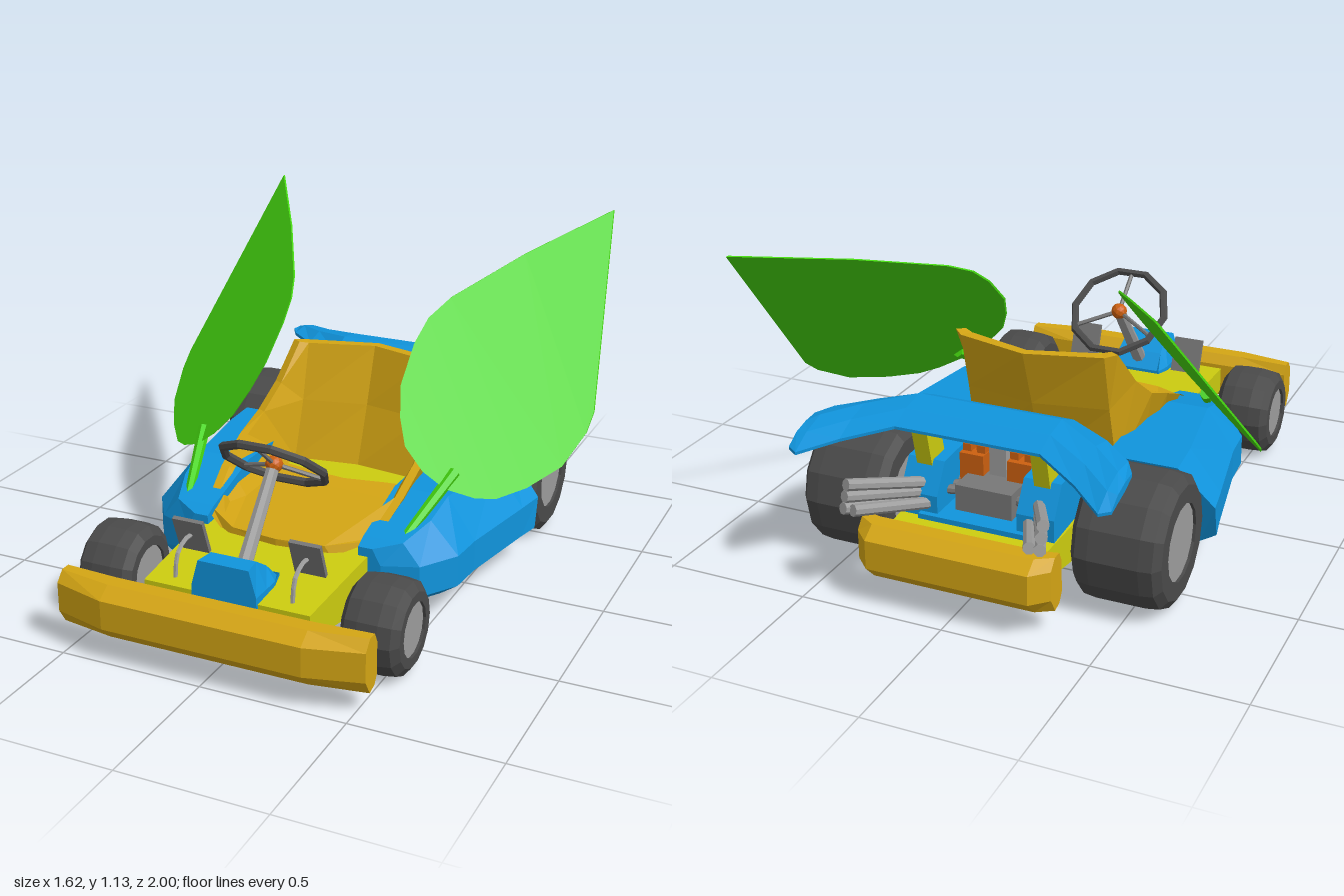
import * as THREE from 'three';

const paint = (color) => new THREE.MeshStandardMaterial({ color, flatShading: true, side: THREE.DoubleSide });
const C = {
  yellow: paint(0xcccc10), amber: paint(0xd4a514), blue: paint(0x1094dc), green: paint(0x44d40f),
  orange: paint(0xcc6010), dark: paint(0x4a4a4a), mid: paint(0x777777), grey: paint(0x9c9c9c),
};
const V = (p) => new THREE.Vector3(...p);

// Closed skin over equal-sized rings of [x, y, z]; ends are capped by pairing point i with point n-1-i
function loft(rings) {
  const n = rings[0].length, last = rings.length - 1, pos = rings.flat(2), idx = [];
  const quad = (a, b, c, d) => idx.push(a, b, c, a, c, d);
  for (let r = 0; r < last; r++)
    for (let i = 0; i < n; i++) {
      const k = (i + 1) % n;
      quad(r * n + i, r * n + k, (r + 1) * n + k, (r + 1) * n + i);
    }
  for (let i = 0; i < n / 2 - 1; i++) {
    const e = last * n;
    quad(i, n - 1 - i, n - 2 - i, i + 1);
    quad(e + i, e + i + 1, e + n - 2 - i, e + n - 1 - i);
  }
  // Turn the skin outward when the enclosed volume is negative
  const P = (i) => new THREE.Vector3().fromArray(pos, i * 3);
  let volume = 0;
  for (let i = 0; i < idx.length; i += 3) volume += P(idx[i]).dot(P(idx[i + 1]).cross(P(idx[i + 2])));
  if (volume < 0) idx.reverse();
  const g = new THREE.BufferGeometry();
  g.setAttribute('position', new THREE.Float32BufferAttribute(pos, 3));
  g.setIndex(idx);
  const flat = g.toNonIndexed();
  flat.computeVertexNormals();
  return flat;
}

// Side profile of [z, y] points stretched between two x positions
const slab = (profile, x0, x1) => loft([x0, x1].map((x) => profile.map(([z, y]) => [x, y, z])));

export function createModel() {
  const model = new THREE.Group();
  const add = (name, geo, mat, p = [0, 0, 0]) => {
    const m = new THREE.Mesh(geo, mat);
    m.name = name;
    m.position.set(...p);
    model.add(m);
    return m;
  };
  const box = (name, mat, w, h, d, p) => add(name, new THREE.BoxGeometry(w, h, d), mat, p);
  const rod = (name, mat, a, b, r0, r1 = r0, sides = 8) => {
    const A = V(a), B = V(b), dir = B.clone().sub(A);
    const m = add(name, new THREE.CylinderGeometry(r1, r0, dir.length(), sides), mat);
    m.position.copy(A).add(B).multiplyScalar(0.5);
    m.quaternion.setFromUnitVectors(new THREE.Vector3(0, 1, 0), dir.normalize());
    return m;
  };

  // Chassis tub: z, half width, bottom, top
  add('chassis', loft([
    [0.82, 0.295, 0.145, 0.235], [0.5, 0.31, 0.1, 0.26], [0.3, 0.32, 0.09, 0.27],
    [-0.37, 0.3, 0.09, 0.3], [-0.42, 0.29, 0.1, 0.26], [-0.8, 0.27, 0.14, 0.24],
  ].map(([z, w, b, t]) => [[-w, b, z], [w, b, z], [w, t, z], [-w, t, z]])), C.yellow);

  // Bumpers: faceted bars whose ends pull in
  const bar = [[0, 0.12], [0, 0.23], [0.03, 0.265], [0.085, 0.265], [0.135, 0.23], [0.135, 0.13], [0.085, 0.08], [0.03, 0.09]];
  const bumper = (name, z0, dir, half, flat, k, dy) => add(name, loft(
    [[-half, k], [-flat, 1], [flat, 1], [half, k]].map(([x, f]) =>
      bar.map(([z, y]) => [x, y + dy, z0 + dir * z * f]))), C.amber);
  bumper('frontBumper', 0.865, 1, 0.54, 0.35, 0.63, 0);
  bumper('rearBumper', -0.83, -1, 0.335, 0.28, 0.6, 0.015);
  rod('frontBumperMount', C.grey, [0, 0.19, 0.78], [0, 0.19, 0.9], 0.032);
  rod('rearBumperMount', C.grey, [0, 0.19, -0.76], [0, 0.19, -0.87], 0.032);

  // Wheels: bevelled tyre around a slightly sunken rim
  const wheel = (name, s, x0, x1, r, hub, y, z, sides) => {
    const h = (x1 - x0) / 2, c = 0.022;
    const tyre = [[hub, -h + 0.02], [hub, -h], [r - c * 1.6, -h], [r - 0.006, -h + c], [r, -h + 3 * c],
      [r, h - 3 * c], [r - 0.006, h - c], [r - c * 1.6, h], [hub, h], [hub, h - 0.02]];
    const p = [s * (x0 + h), y, z];
    const t = add(name + 'Tyre', new THREE.LatheGeometry(tyre.map((q) => new THREE.Vector2(...q)), sides), C.dark, p);
    const rim = add(name + 'Rim', new THREE.CylinderGeometry(hub, hub, 2 * h - 0.02, sides), C.grey, p);
    t.rotation.z = rim.rotation.z = Math.PI / 2;
  };

  for (const s of [1, -1]) {
    wheel('frontWheel', s, 0.375, 0.575, 0.16, 0.092, 0.167, 0.65, 14);
    wheel('rearWheel', s, 0.33, 0.63, 0.225, 0.13, 0.233, -0.56, 14);

    // Side pod: z, z lean of the bottom, outer x, shoulder inset, bottom, top
    add('sidePod', loft([
      [0.425, 0, 0.36, 0.03, 0.12, 0.295], [0.38, 0, 0.48, 0.06, 0.09, 0.315], [0.25, 0, 0.565, 0.1, 0.09, 0.35],
      [0.12, 0, 0.575, 0.1, 0.09, 0.387], [-0.2, 0, 0.635, 0.11, 0.09, 0.382], [-0.35, 0.07, 0.655, 0.12, 0.09, 0.378],
    ].map(([z, lean, o, inset, b, t]) => [
      [0.28, b, z + lean], [o - 0.06, b, z + lean], [o, b + 0.04, z + lean * 0.85],
      [o, 0.24, z + lean * 0.5], [o - inset, t, z], [0.28, t, z],
    ].map(([x, y, q]) => [s * x, y, q]))), C.blue);

    // Blue engine-bay cowls and the struts of the spoiler
    add('engineCowl', slab([[-0.34, 0.24], [-0.36, 0.3], [-0.475, 0.43], [-0.68, 0.42], [-0.74, 0.32], [-0.74, 0.2]], s * 0.14, s * 0.27), C.blue);
    add('spoilerStrut', slab([[-0.6, 0.4], [-0.645, 0.59], [-0.735, 0.59], [-0.69, 0.4]], s * 0.18, s * 0.235), C.yellow);

    // Exhaust pipes, fanned upward and outward
    for (let i = 0; i < 4; i++) {
      const k = i % 3, dx = i === 3 ? -0.035 : 0;
      rod('exhaustPipe', C.grey, [s * (0.2 + dx), 0.28 + 0.032 * k, -0.7],
        [s * (0.335 + dx), 0.36 + 0.035 * k, -0.99 + 0.012 * k], 0.02);
    }

    // Leaf: flat outline, tip first, lying on a slanted plane
    const outline = [[0.686, 1.138], [0.47, 1.04], [0.306, 0.942], [0.266, 0.894], [0.253, 0.828], [0.258, 0.72],
      [0.288, 0.632], [0.328, 0.553], [0.397, 0.479], [0.472, 0.422], [0.559, 0.383], [0.616, 0.37],
      [0.69, 0.383], [0.769, 0.422], [0.808, 0.5], [0.812, 0.553]];
    add('leaf', loft([0, 0.012].map((d) => outline.map(([x, y]) =>
      [s * x, y, -0.425 - d - (0.338 * (x - 0.815) + 0.358 * (y - 0.56)) / 0.29]))), C.green);
    rod('leafStem', C.green, [s * 0.395, 0.29, 0.37], [s * 0.48, 0.46, 0.08], 0.014, 0.022, 6);

    // Pedal plate on a bent lever
    box('pedal', C.mid, 0.11, 0.13, 0.015, [s * 0.21, 0.34, 0.655]).rotation.x = 0.35;
    const lever = new THREE.CatmullRomCurve3([[0.21, 0.22, 0.77], [0.21, 0.31, 0.75], [0.21, 0.34, 0.7], [0.21, 0.34, 0.66]].map(([x, y, z]) => V([s * x, y, z])));
    add('pedalLever', new THREE.TubeGeometry(lever, 6, 0.008, 6), C.grey);

    // Engine head with raised ribs
    box('engineHead', C.orange, 0.085, 0.12, 0.2, [s * 0.085, 0.36, -0.5]);
    for (const x of [0.06, 0.11]) box('engineRib', C.orange, 0.03, 0.03, 0.18, [s * x, 0.43, -0.49]);
    for (let i = 0; i < 3; i++) rod('engineOutlet', C.mid, [s * 0.09, 0.31, -0.56 - 0.04 * i], [s * 0.16, 0.31, -0.58 - 0.04 * i], 0.016);
  }

  // Engine block and intake
  box('engineBlock', C.mid, 0.2, 0.14, 0.3, [0, 0.28, -0.54]);
  box('engineIntake', C.grey, 0.06, 0.16, 0.18, [0, 0.37, -0.49]);
  box('engineBase', C.blue, 0.4, 0.06, 0.36, [0, 0.23, -0.58]);

  // Spoiler: x, front z, rear z, front y, crown y, rear y
  const wing = [[0.545, -0.79, -0.95, 0.565, 0.56, 0.515], [0.51, -0.73, -0.97, 0.57, 0.575, 0.51],
    [0.4, -0.63, -0.885, 0.575, 0.595, 0.54], [0.25, -0.54, -0.8, 0.58, 0.62, 0.575]];
  add('spoiler', loft([...wing, ...wing.map(([x, ...q]) => [-x, ...q]).reverse()].map(([x, a, b, ya, yc, yb]) => {
    const at = (k) => a + (b - a) * k;
    return [[x, ya, a], [x, yc, at(0.35)], [x, (yc + yb) / 2 + 0.008, at(0.7)], [x, yb, b],
      [x, yb - 0.01, b], [x, (yc + yb) / 2 - 0.02, at(0.7)], [x, yc - 0.03, at(0.35)], [x, ya - 0.012, a]];
  })), C.blue);

  // Seat scoop: floor half width, floor y, floor z, centre z, rim half width, rim y, rim z
  add('seat', loft([
    [0.17, 0.285, 0.45, 0.47, 0.29, 0.3, 0.37], [0.25, 0.285, 0.2, 0.2, 0.315, 0.385, 0.2],
    [0.25, 0.285, 0.02, 0, 0.32, 0.45, 0.05], [0.24, 0.29, -0.17, -0.2, 0.31, 0.5, -0.06],
    [0.235, 0.5, -0.23, -0.28, 0.29, 0.58, -0.16], [0.235, 0.705, -0.28, -0.35, 0.265, 0.71, -0.265],
  ].map(([w, y, z, zc, rw, ry, rz], i) => {
    const back = i > 2 ? 0.035 : 0, drop = i < 4 ? 0.035 : 0;
    return [[-rw, ry, rz], [-w, y, z], [0, y, zc], [w, y, z], [rw, ry, rz],
      [rw + 0.03, ry, rz - back / 2], [w + 0.025, y - drop, z - back], [0, y - drop, zc - back],
      [-w - 0.025, y - drop, z - back], [-rw - 0.03, ry, rz - back / 2]];
  })), C.amber);

  // Column cover in the nose
  add('columnCover', loft([[0.64, 0.09, 0.1, 0.25], [0.7, 0.085, 0.115, 0.31], [0.76, 0.08, 0.115, 0.35], [0.83, 0.09, 0.115, 0.35]]
    .map(([z, t, b, y]) => [[-b, 0.21, z], [-b, 0.26, z], [-t, y, z], [t, y, z], [b, 0.26, z], [b, 0.21, z]])), C.blue);

  // Steering wheel, built flat and tilted with its column
  const steering = new THREE.Group();
  steering.name = 'steeringWheel';
  steering.position.set(0, 0.555, 0.47);
  steering.rotation.x = Math.atan2(-0.77, -0.64);
  steering.add(new THREE.Mesh(new THREE.TorusGeometry(0.178, 0.015, 6, 10), C.dark));
  for (let i = 0; i < 3; i++) {
    const a = Math.PI / 2 + i * Math.PI * 2 / 3 + Math.PI;
    const spoke = new THREE.Mesh(new THREE.CylinderGeometry(0.008, 0.008, 0.17, 6), C.mid);
    spoke.position.set(Math.cos(a) * 0.085, Math.sin(a) * 0.085, 0);
    spoke.rotation.z = a - Math.PI / 2;
    steering.add(spoke);
  }
  model.add(steering);
  add('steeringHub', new THREE.IcosahedronGeometry(0.03, 1), C.orange, [0, 0.555, 0.47]);
  rod('steeringColumn', C.grey, [0, 0.27, 0.705], [0, 0.545, 0.478], 0.027, 0.022);
  return model;
}
